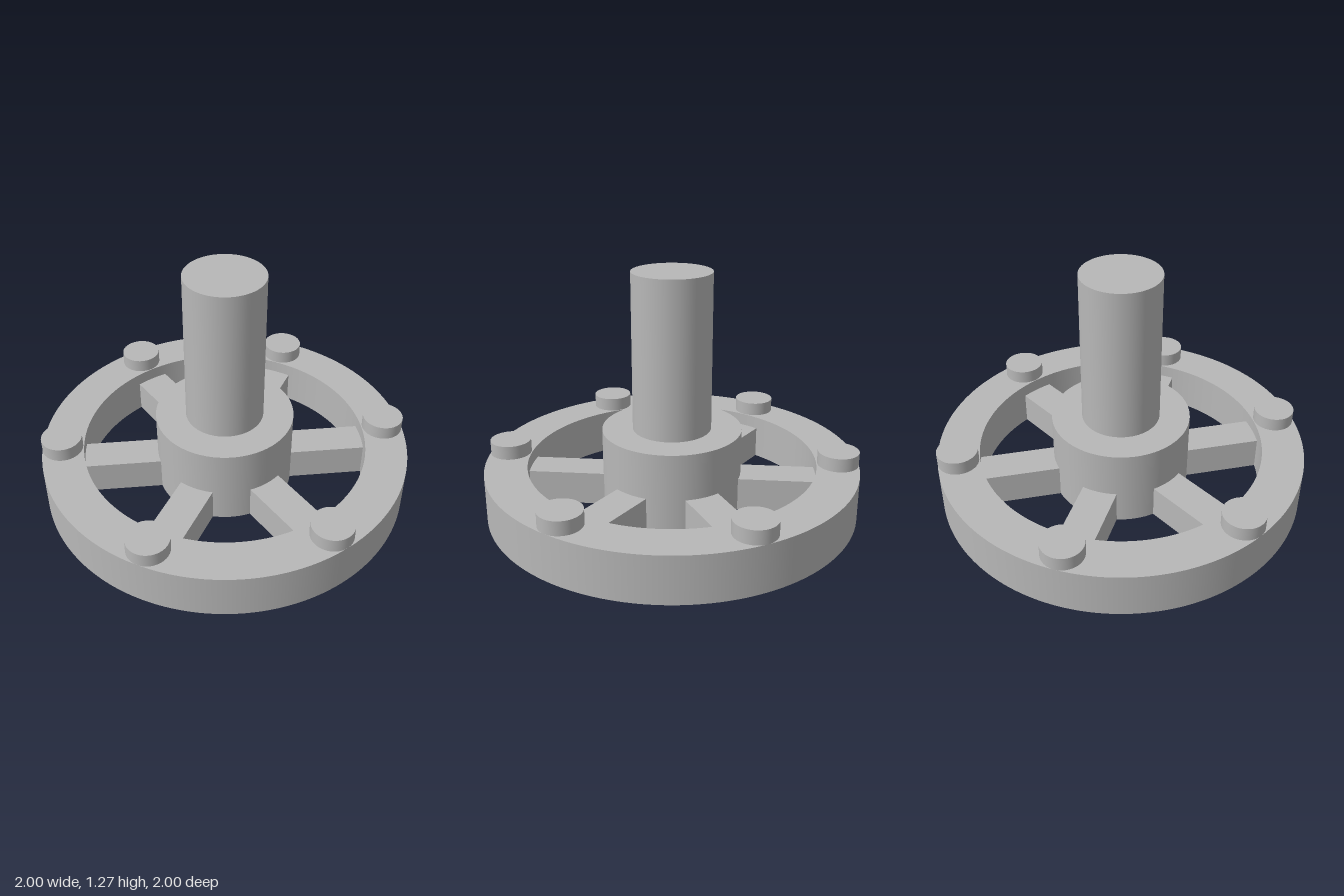
import * as THREE from 'three';

export function createModel() {
  const model = new THREE.Group();
  const grey = new THREE.MeshStandardMaterial({ color: 0xb8b8b8 });
  grey.name = 'plain grey';

  const add = (name, geometry, parent = model) => {
    const mesh = new THREE.Mesh(geometry, grey);
    mesh.name = name;
    parent.add(mesh);
    return mesh;
  };
  // upright cylinder from y0 to y1
  const disc = (name, r, y0, y1, parent) => {
    const mesh = add(name, new THREE.CylinderGeometry(r, r, y1 - y0, 64), parent);
    mesh.position.y = (y0 + y1) / 2;
    return mesh;
  };

  const rimOuter = 1, rimInner = 0.775, rimTop = 0.25;
  const spokeTop = 0.18, hubRadius = 0.373, boltRadius = 0.11;

  // rim: flat ring with a square section
  const ring = new THREE.Shape().absarc(0, 0, rimOuter, 0, Math.PI * 2);
  ring.holes.push(new THREE.Path().absarc(0, 0, rimInner, 0, Math.PI * 2, true));
  const rim = new THREE.ExtrudeGeometry(ring, { depth: rimTop, bevelEnabled: false, curveSegments: 96 });
  // smooth the round walls, keep the caps flat
  const pos = rim.attributes.position, nor = rim.attributes.normal;
  for (let i = 0; i < pos.count; i++) {
    if (Math.abs(nor.getZ(i)) > 0.5) continue;
    const x = pos.getX(i), y = pos.getY(i), r = Math.hypot(x, y);
    const s = r > 0.9 ? 1 : -1;
    nor.setXYZ(i, s * x / r, s * y / r, 0);
  }
  rim.rotateX(-Math.PI / 2);
  add('rim', rim);

  // hub and shaft
  disc('hub', hubRadius, 0, 0.43);
  disc('shaft', 0.21, 0.43, 1.275);

  // six spokes, each with a round boss on the rim
  for (let i = 0; i < 6; i++) {
    const arm = new THREE.Group();
    arm.name = 'arm' + (i + 1);
    arm.rotation.y = i * Math.PI / 3;
    model.add(arm);
    const inner = hubRadius - 0.05, outer = rimInner + 0.02;
    const spoke = add('spoke', new THREE.BoxGeometry(outer - inner, spokeTop, 0.186), arm);
    spoke.position.set((inner + outer) / 2, spokeTop / 2, 0);
    disc('boss', boltRadius, rimTop, 0.325, arm).position.x = rimOuter - boltRadius;
  }
  return model;
}
